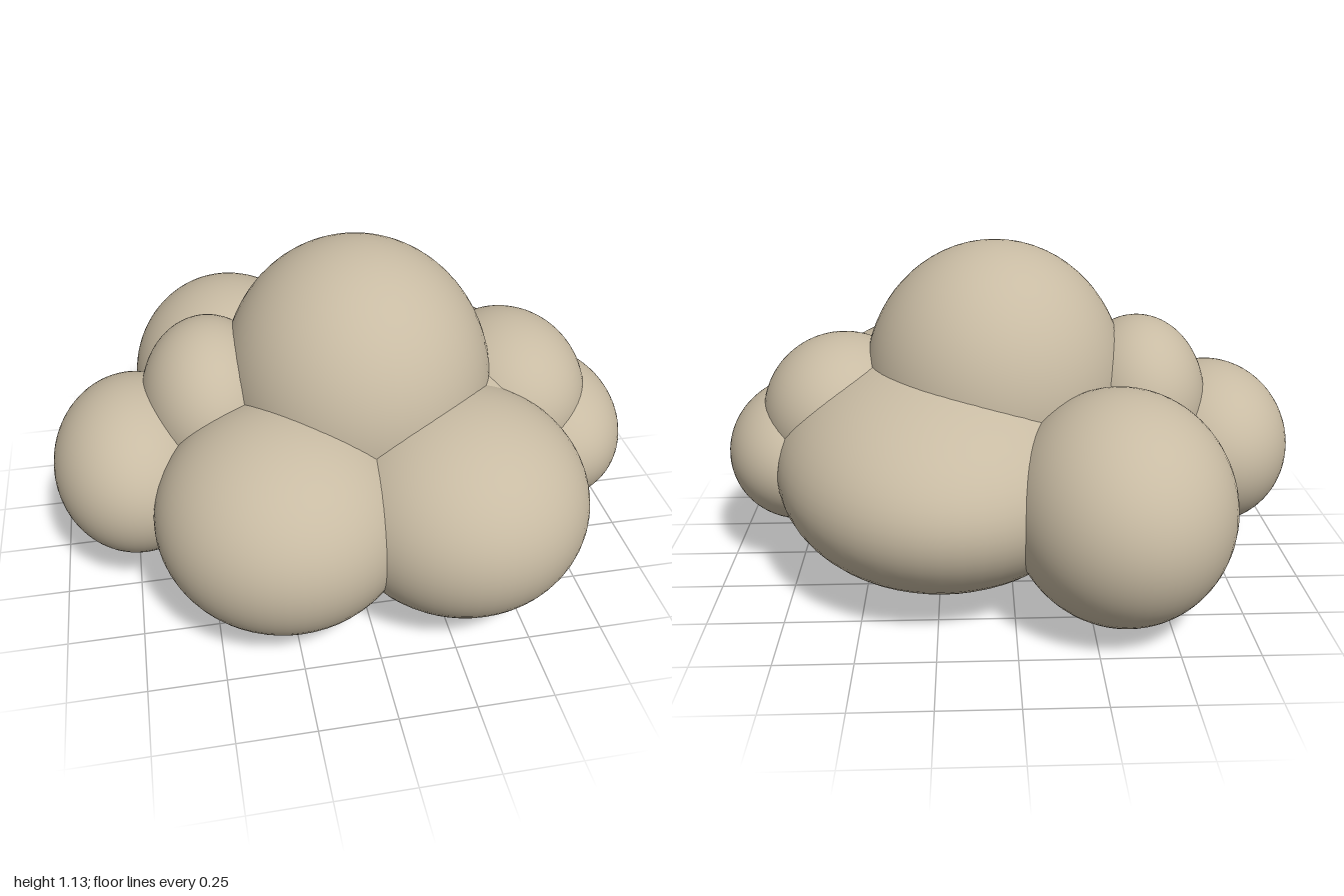
import * as THREE from 'three';

// Each puff: name, centre, radii
const PUFFS = [
  ['crownPuff', [0.05, 0.66, 0.055], [0.455, 0.485, 0.485]],
  ['basePuff', [0.23, 0.4, -0.02], [0.585, 0.39, 0.735]],
  ['frontRightPuff', [-0.26, 0.405, 0.43], [0.42, 0.355, 0.43]],
  ['frontLeftPuff', [0.315, 0.41, 0.46], [0.425, 0.355, 0.44]],
  ['backRightPuff', [-0.34, 0.395, -0.465], [0.365, 0.37, 0.44]],
  ['rightEndPuff', [-0.72, 0.41, 0.07], [0.28, 0.29, 0.35]],
  ['rightShoulderPuff', [-0.45, 0.6, 0.02], [0.235, 0.285, 0.3]],
  ['leftEndPuff', [0.735, 0.4, 0.08], [0.265, 0.245, 0.34]],
  ['leftShoulderPuff', [0.585, 0.55, 0.05], [0.28, 0.272, 0.325]],
];

export function createModel() {
  const cloud = new THREE.Group();
  cloud.name = 'cloud';
  const beige = new THREE.MeshStandardMaterial({ color: 0xc8bba3 });
  beige.name = 'warm beige';

  // Overlapping smooth ellipsoids form the cloud
  for (const [name, centre, radii] of PUFFS) {
    const geometry = new THREE.SphereGeometry(1, 56, 36);
    geometry.scale(...radii);
    const puff = new THREE.Mesh(geometry, beige);
    puff.name = name;
    puff.position.set(...centre);
    cloud.add(puff);
  }
  return cloud;
}
